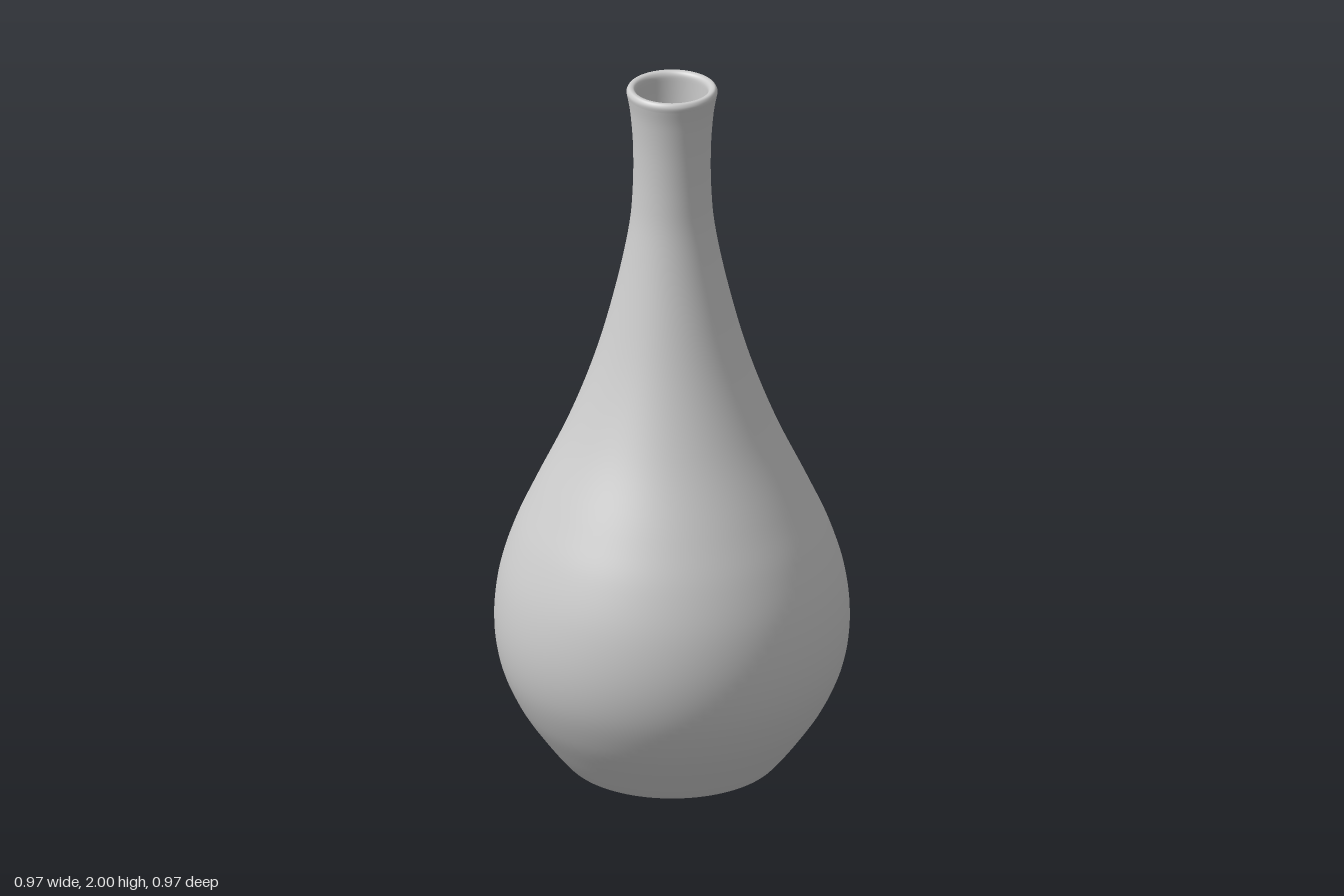
import * as THREE from 'three';

const material = new THREE.MeshStandardMaterial({ color: 0xcccccc });

// Smooth curve through [radius, height] pairs, sampled for a lathe
function smoothProfile(pairs, samples) {
  const points = pairs.map(([r, y]) => new THREE.Vector2(r, y));
  return new THREE.SplineCurve(points).getPoints(samples);
}

function turned(name, profile) {
  const mesh = new THREE.Mesh(new THREE.LatheGeometry(profile, 96), material);
  mesh.name = name;
  return mesh;
}

// Flat upward disc, flipped when it faces down
function disc(name, radius, y, down) {
  const mesh = new THREE.Mesh(new THREE.CircleGeometry(radius, 96), material);
  mesh.name = name;
  mesh.rotation.x = down ? Math.PI / 2 : -Math.PI / 2;
  mesh.position.y = y;
  return mesh;
}

export function createModel() {
  const vase = new THREE.Group();
  vase.name = 'vase';

  // Outer wall: small foot, round belly, long tapering neck, flared lip
  const outer = smoothProfile([
    [0.27, 0], [0.295, 0.015], [0.355, 0.09], [0.42, 0.188], [0.467, 0.3],
    [0.484, 0.42], [0.472, 0.55], [0.433, 0.68], [0.375, 0.81], [0.285, 1.0],
    [0.21, 1.2], [0.155, 1.4], [0.118, 1.58], [0.107, 1.7], [0.106, 1.82],
    [0.113, 1.92], [0.122, 1.975],
  ], 90);
  vase.add(turned('outerWall', outer));

  // Rounded lip rolling from the outer wall to the inner wall
  vase.add(turned('rim', smoothProfile([
    [0.122, 1.975], [0.124, 1.988], [0.119, 1.998], [0.112, 2.0],
    [0.104, 1.997], [0.099, 1.988], [0.098, 1.975],
  ], 20)));

  // Thin inner wall, listed downwards so that it faces the axis
  vase.add(turned('innerWall', smoothProfile([
    [0.098, 1.975], [0.097, 1.92], [0.094, 1.82], [0.094, 1.7], [0.104, 1.58],
    [0.14, 1.4], [0.194, 1.2], [0.268, 1.0], [0.358, 0.81], [0.416, 0.68],
    [0.454, 0.55], [0.466, 0.42], [0.449, 0.3], [0.403, 0.195], [0.34, 0.1],
    [0.28, 0.03],
  ], 80)));

  // Closed bottom, inside and outside
  vase.add(disc('innerFloor', 0.28, 0.03, false));
  vase.add(disc('base', 0.27, 0, true));

  return vase;
}
